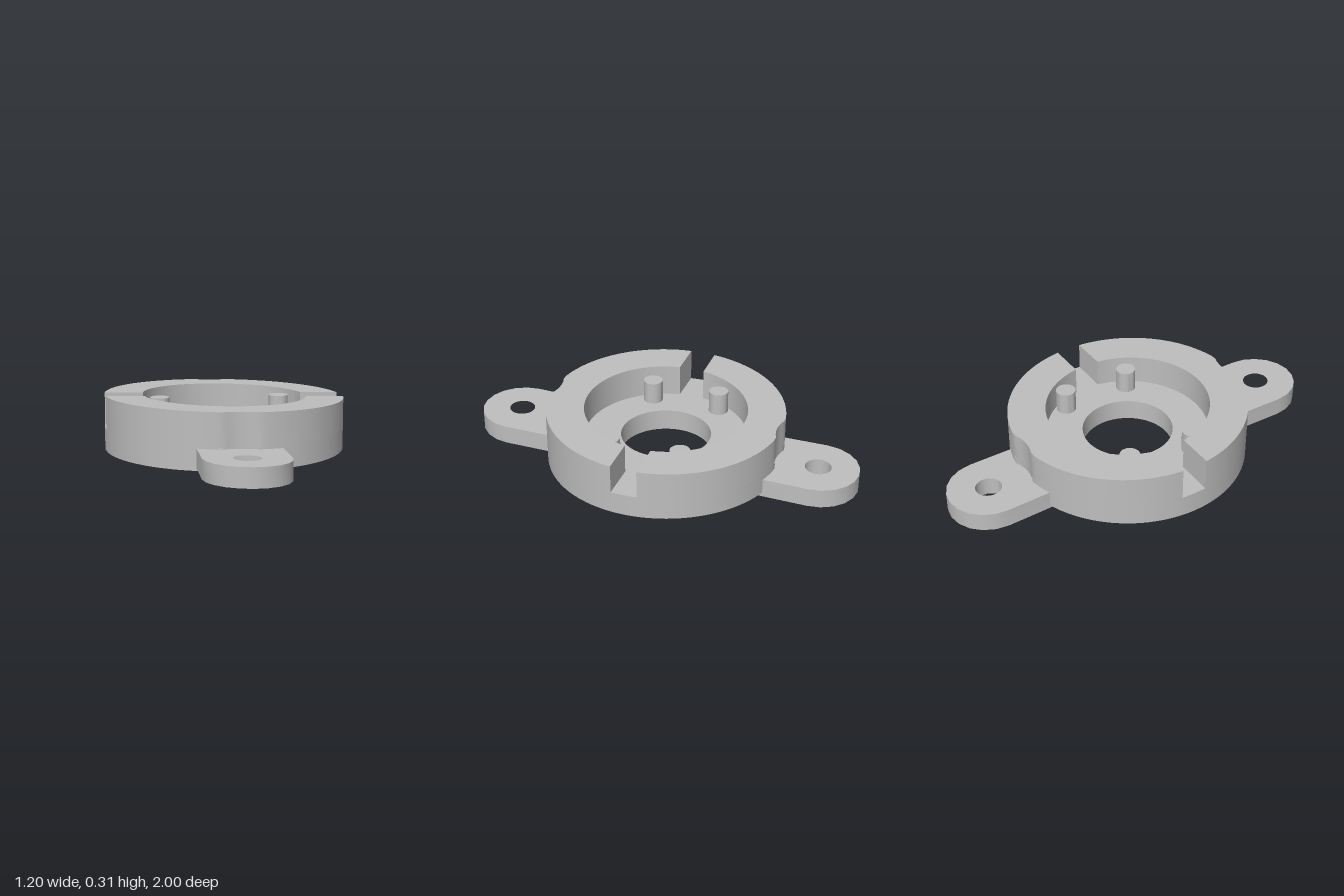
import * as THREE from 'three';
import { toCreasedNormals } from 'three/addons/utils/BufferGeometryUtils.js';

const CENTER_Z = -0.005, OUTER = 0.6, INNER = 0.41, BORE = 0.228;
const BOTTOM = 0.03, FLOOR = 0.14, SLOT = 0.065;
const HOLE_Z = 0.795, CLEARANCE = 0.22;

// Slight tilt shared by the top faces and the mounting tabs
const tilt = (x, z) => 0.0208 * (z - x);

// Point on the outer rim, cut back where it meets a screw clearance circle
function rimPoint(a) {
  const x = OUTER * Math.cos(a);
  let y = OUTER * Math.sin(a);
  if (Math.abs(x) < CLEARANCE) {
    const limit = HOLE_Z - Math.sqrt(CLEARANCE ** 2 - x ** 2);
    y = Math.sign(y) * Math.min(Math.abs(y), limit);
  }
  return new THREE.Vector2(x, y);
}

function circleHole(x, y, r) {
  return new THREE.Path().absarc(x, y, r, 0, Math.PI * 2, true);
}

// Extrude a plan shape (shape y = -z) upward
function slab(shape, y, height) {
  const geo = new THREE.ExtrudeGeometry(shape, { depth: height, bevelEnabled: false, curveSegments: 32 });
  geo.rotateX(-Math.PI / 2);
  geo.translate(0, y, 0);
  return geo;
}

// Shear vertices above minY so their faces follow the tilt
function shear(geo, minY) {
  const p = geo.attributes.position;
  for (let i = 0; i < p.count; i++) {
    if (p.getY(i) > minY) p.setY(i, p.getY(i) + tilt(p.getX(i), p.getZ(i)));
  }
  return geo;
}

export function createModel() {
  const group = new THREE.Group();
  const grey = new THREE.MeshStandardMaterial({ color: 0xbebebe });
  grey.name = 'grey plastic';

  const add = (name, geo) => {
    const mesh = new THREE.Mesh(toCreasedNormals(geo, 0.6), grey);
    mesh.name = name;
    group.add(mesh);
    return mesh;
  };

  // Base ring with central bore
  const rim = [];
  for (let i = 0; i < 128; i++) rim.push(rimPoint((i / 128) * Math.PI * 2));
  const base = new THREE.Shape(rim);
  base.holes.push(circleHole(0, 0, BORE));
  add('baseRing', slab(base, BOTTOM, FLOOR - BOTTOM)).position.z = CENTER_Z;

  // Two raised half walls separated by side slots
  for (const side of [1, -1]) {
    const pts = [];
    const a0 = Math.asin(SLOT / OUTER), a1 = Math.asin(SLOT / INNER);
    const n = 64;
    for (let i = 0; i <= n; i++) {
      const p = rimPoint(a0 + (i / n) * (Math.PI - 2 * a0));
      pts.push(new THREE.Vector2(p.x, -side * p.y));
    }
    for (let i = n; i >= 0; i--) {
      const a = a1 + (i / n) * (Math.PI - 2 * a1);
      pts.push(new THREE.Vector2(INNER * Math.cos(a), -side * INNER * Math.sin(a)));
    }
    const wall = shear(slab(new THREE.Shape(pts), FLOOR, 0.293 - FLOOR), 0.2);
    add(side > 0 ? 'frontWall' : 'backWall', wall).position.z = CENTER_Z;
  }

  // Four locating pegs
  for (const x of [-0.31, 0.31]) {
    for (const z of [-0.18, 0.18]) {
      const peg = new THREE.CylinderGeometry(0.05, 0.05, 0.12, 32);
      add('peg', peg).position.set(x, FLOOR + 0.055, z + CENTER_Z);
    }
  }

  // Tilted mounting tabs with rounded ends and screw holes
  for (const side of [1, -1]) {
    const pts = [new THREE.Vector2(-0.2, -side * 0.36), new THREE.Vector2(0.2, -side * 0.36)];
    for (let i = 0; i <= 10; i++) {
      const a = (i / 10) * Math.PI;
      pts.push(new THREE.Vector2(0.205 * Math.cos(a) - 0.003, -side * (HOLE_Z + 0.205 * Math.sin(a))));
    }
    const shape = new THREE.Shape(pts);
    shape.holes.push(circleHole(-0.003, -side * HOLE_Z, 0.065));
    add(side > 0 ? 'frontTab' : 'backTab', shear(slab(shape, 0.0245, 0.095), -1));
  }

  return group;
}
